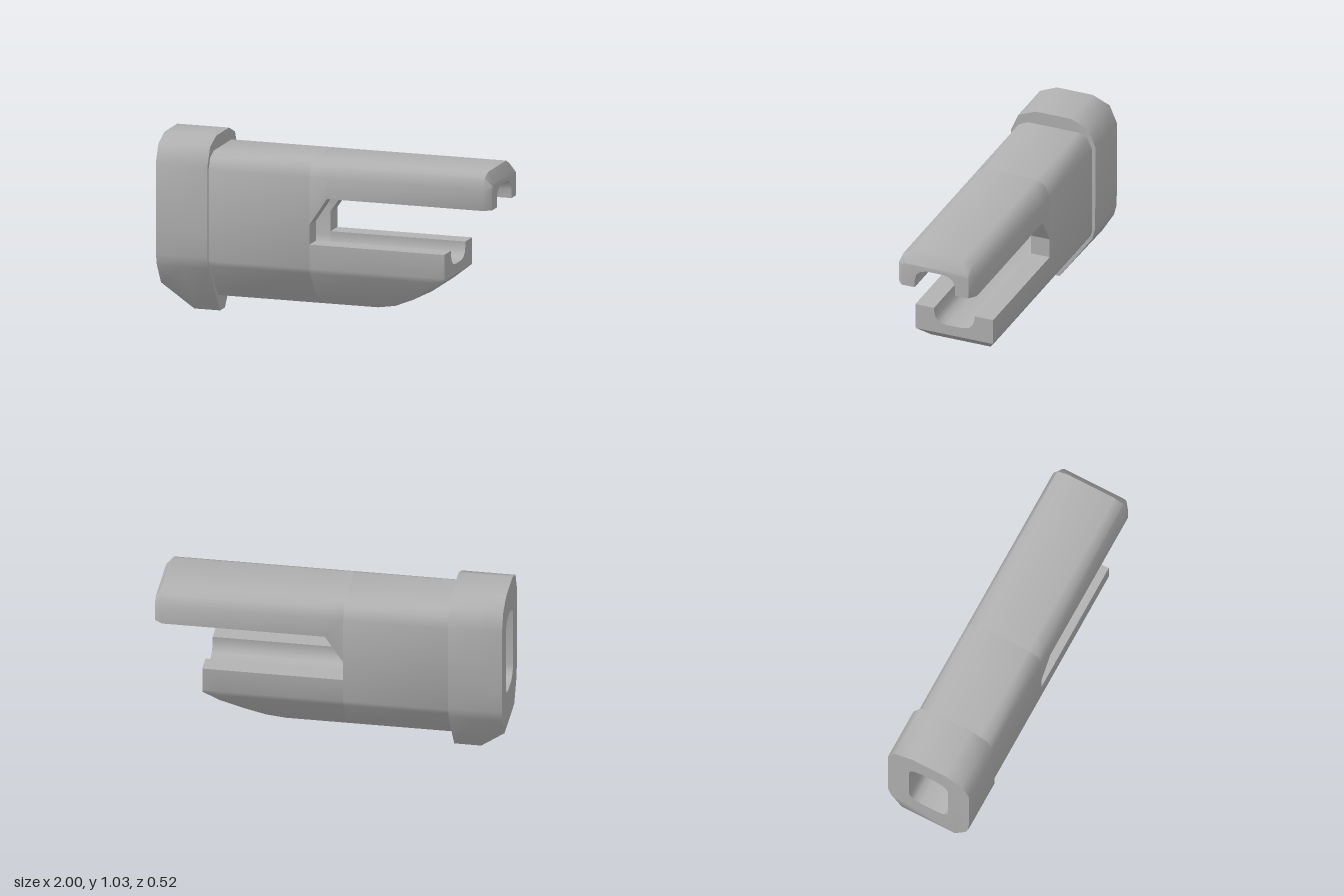
import * as THREE from 'three';
import { toCreasedNormals } from 'three/addons/utils/BufferGeometryUtils.js';

// Half profiles are [z, y] points on the +z side; loop() mirrors them into closed sections.
const loop = half => [...half, ...half.map(([z, y]) => [-z, y]).reverse()];

function addTri(out, a, b, c) {
  const area = b.clone().sub(a).cross(c.clone().sub(a)).length();
  if (area > 1e-7) out.push(...a.toArray(), ...b.toArray(), ...c.toArray());
}

// Skin between sections given as [x, loop]
function skin(out, sections) {
  for (let s = 0; s + 1 < sections.length; s++) {
    const [x0, l0] = sections[s], [x1, l1] = sections[s + 1];
    for (let i = 0; i < l0.length; i++) {
      const j = (i + 1) % l0.length;
      const at = (x, p) => new THREE.Vector3(x, p[1], p[0]);
      const a = at(x0, l0[i]), b = at(x0, l0[j]), c = at(x1, l1[j]), d = at(x1, l1[i]);
      addTri(out, a, d, c);
      addTri(out, a, c, b);
    }
  }
}

// Flat face at x, looking towards +x (dir 1) or -x (dir -1)
function cap(out, x, dir, outline, holes = []) {
  const to2 = l => l.map(p => new THREE.Vector2(p[0], p[1]));
  const rings = [outline, ...holes];
  const pts = rings.flat().map(p => new THREE.Vector3(x, p[1], p[0]));
  for (const [i, j, k] of THREE.ShapeUtils.triangulateShape(to2(outline), holes.map(to2))) {
    const n = pts[j].clone().sub(pts[i]).cross(pts[k].clone().sub(pts[i]));
    if (n.x * dir > 0) addTri(out, pts[i], pts[j], pts[k]);
    else addTri(out, pts[i], pts[k], pts[j]);
  }
}

export function createModel() {
  const group = new THREE.Group();
  const grey = new THREE.MeshStandardMaterial({ color: 0xb2b2b2 });
  grey.name = 'grey';

  const part = (name, build) => {
    const out = [];
    build(out);
    const g = new THREE.BufferGeometry();
    g.setAttribute('position', new THREE.Float32BufferAttribute(out, 3));
    const mesh = new THREE.Mesh(toCreasedNormals(g, 0.8), grey);
    mesh.name = name;
    group.add(mesh);
  };

  const xBack = -1, xCollar = -0.69, xSlot = -0.085;
  const slotLow = 0.47, slotMid = 0.585, slotHigh = 0.743;

  // Half profiles, bottom to top
  const bodyLow = [[0.075, 0.097], [0.23, 0.3], [0.24, 0.33]];
  const bodyTop = [[0.24, 0.86], [0.212, 0.925], [0.155, 0.952]];
  const boreLow = [[0.05, 0.377], [0.09, 0.387], [0.115, 0.412], [0.125, 0.45]];
  const boreTop = [[0.125, 0.79], [0.115, 0.825], [0.09, 0.85], [0.05, 0.86]];
  const collarHalf = (z, y) => [[z, y], [0.242, 0.285], [0.258, 0.35], [0.26, 0.49],
    [0.26, 0.88], [0.215, 0.985], [0.11, 1.03]];

  const body = loop([...bodyLow, ...bodyTop]);
  const bore = loop([...boreLow, ...boreTop]);

  // Collar with a chamfered underside at the back
  part('collar', out => {
    const back = loop(collarHalf(0.17, 0.168)), full = loop(collarHalf(0.042, 0));
    skin(out, [[xBack, back], [-0.845, full], [xCollar, full]]);
    cap(out, xBack, -1, back, [bore]);
    cap(out, xCollar, 1, full, [body]);
  });

  // Closed sleeve, with the two end walls of the side slots
  part('sleeve', out => {
    skin(out, [[xCollar, body], [xSlot, body]]);
    for (const s of [1, -1])
      cap(out, xSlot, 1, [[s * 0.125, slotLow], [s * 0.24, slotLow], [s * 0.24, slotMid], [s * 0.125, slotMid]]);
  });

  part('bore', out => {
    const inner = [...bore].reverse();
    skin(out, [[xBack, inner], [xSlot, inner]]);
  });

  // Upper arm: arched section with a bevelled tip
  part('upperArm', out => {
    const arch = (y, top) => loop([...[...boreTop].reverse(), [0.125, y], [top[0][0], y], ...top]);
    const tip = arch(slotHigh, [[0.207, 0.865], [0.198, 0.882], [0.175, 0.888]]);
    skin(out, [[xSlot, arch(slotMid, bodyTop)], [0.02, arch(slotHigh, bodyTop)],
      [0.957, arch(slotHigh, bodyTop)], [1, tip]]);
    cap(out, 1, 1, tip);
  });

  // Lower arm: trough section whose keel sweeps up to the nose
  part('lowerArm', out => {
    const lift = ([z, y], keel) => {
      if (y >= keel) return [z, y];
      const [[z0, y0], [z1, y1], [z2, y2]] = bodyLow;
      return keel < y1
        ? [z0 + (z1 - z0) * (keel - y0) / (y1 - y0), keel]
        : [z1 + (z2 - z1) * (keel - y1) / (y2 - y1), keel];
    };
    const trough = keel => loop([...bodyLow.map(p => lift(p, keel)),
      [0.24, slotLow], [0.125, slotLow], ...[...boreLow].reverse()]);
    const keelLine = [[xSlot, 0.097], [0.27, 0.097], [0.38, 0.117], [0.5, 0.17], [0.63, 0.24], [0.724, 0.316]];
    skin(out, keelLine.map(([x, y]) => [x, trough(y)]));
    cap(out, 0.724, 1, trough(0.316));
  });

  return group;
}
